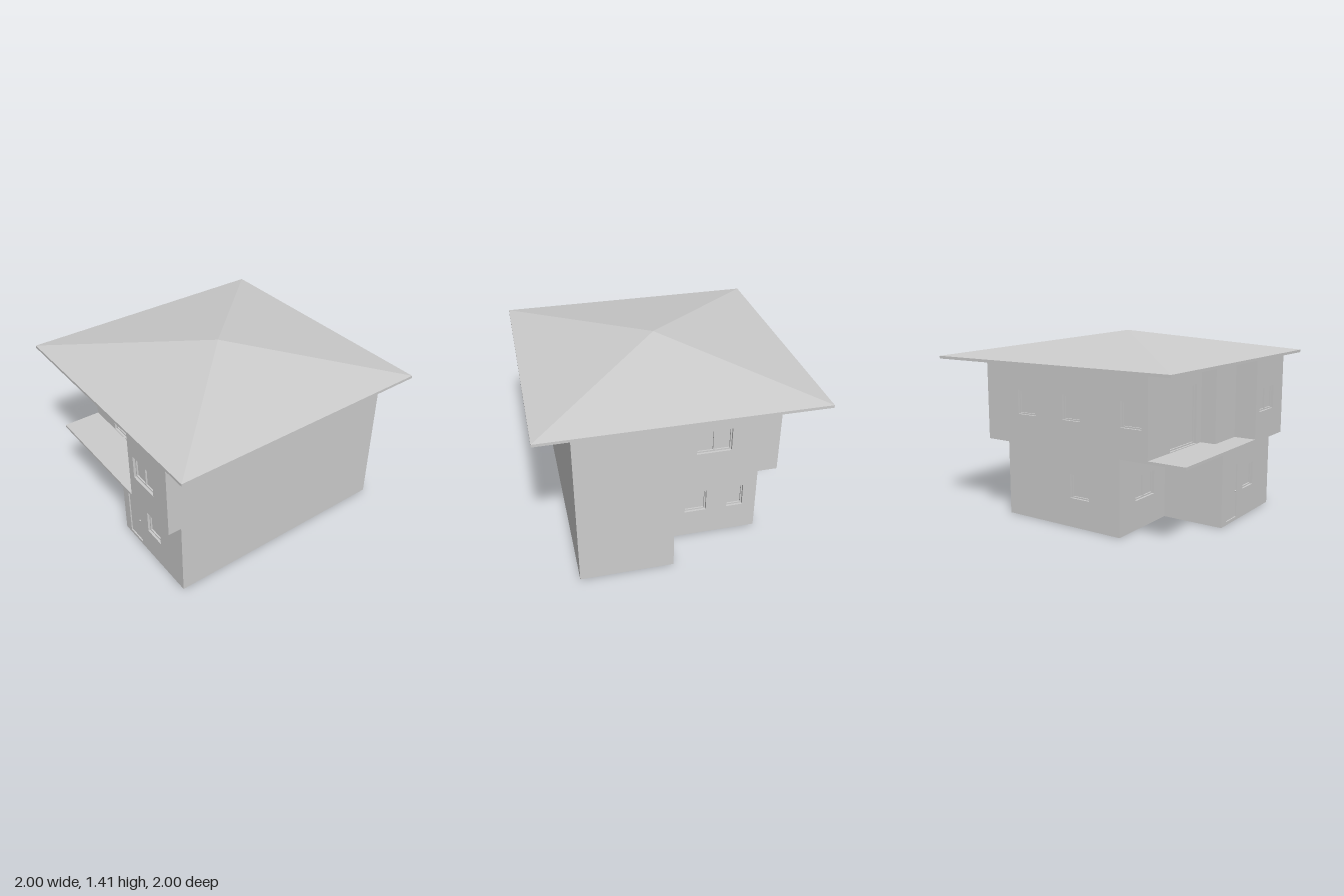
import * as THREE from 'three';

const DEPTH = 0.03; // wall panel thickness
const RISE = 0.175; // roof height over a half width of 1

// Floor outlines as [x, z], anticlockwise seen from above
const GROUND = [[-0.64, 0.37], [-0.04, 0.37], [-0.04, 0.86], [0.755, 0.86],
  [0.755, -0.955], [0.07, -0.955], [0.07, -0.67], [-0.64, -0.67]];
const UPPER = [[-0.74, 0.67], [-0.03, 0.67], [-0.03, 0.79], [0.28, 0.79], [0.28, 0.96],
  [0.755, 0.96], [0.755, -0.955], [-0.036, -0.955], [-0.036, -0.775], [-0.74, -0.775]];

// Openings per wall: distance along the wall, heights, kind
const win = (u0, u1, y0, panes = 1) => ({ u0, u1, y0, y1: y0 + 0.18, panes, kind: 'window' });
const door = (u0, u1, knob) => ({ u0, u1, y0: 0.025, y1: 0.44, knob, kind: 'door' });
const GROUND_OPENINGS = {
  0: [win(0.2, 0.45, 0.22, 2)],
  2: [door(0.075, 0.24, 0.22), win(0.34, 0.51, 0.22)],
  5: [door(0.05, 0.2, 0.068)],
  6: [win(0.155, 0.32, 0.22), win(0.48, 0.605, 0.22)],
  7: [win(0.6, 0.77, 0.22)],
};
const UPPER_OPENINGS = {
  0: [{ u0: 0.28, u1: 0.64, y0: 0.625, y1: 1.06, panes: 1, kind: 'balconyDoor' }],
  4: [win(0.06, 0.305, 0.82, 2)],
  7: [win(0.035, 0.155, 0.82)],
  8: [win(0.095, 0.35, 0.82, 2)],
  9: [win(0.305, 0.475, 0.82), win(0.725, 0.885, 0.82), win(1.225, 1.395, 0.82)],
};

export function createModel() {
  const model = new THREE.Group();
  model.name = 'house';
  const grey = new THREE.MeshStandardMaterial({ color: 0xcccccc, side: THREE.DoubleSide });
  grey.name = 'plain grey';

  const add = (parent, name, geometry) => {
    const mesh = new THREE.Mesh(geometry, grey);
    mesh.name = name;
    parent.add(mesh);
    return mesh;
  };
  // Box given by its limits
  const box = (parent, name, x0, x1, y0, y1, z0, z1) => {
    const mesh = add(parent, name, new THREE.BoxGeometry(x1 - x0, y1 - y0, z1 - z0));
    mesh.position.set((x0 + x1) / 2, (y0 + y1) / 2, (z0 + z1) / 2);
    return mesh;
  };

  // Window: recessed pane, slim frame and mullion
  const fillWindow = (wall, o) => {
    const f = 0.01, z0 = -DEPTH, z1 = -0.018;
    box(wall, o.kind + 'Pane', o.u0, o.u1, o.y0, o.y1, z0 - 0.005, z0);
    box(wall, 'frameLeft', o.u0, o.u0 + f, o.y0, o.y1, z0, z1);
    box(wall, 'frameRight', o.u1 - f, o.u1, o.y0, o.y1, z0, z1);
    box(wall, 'frameBottom', o.u0, o.u1, o.y0, o.y0 + f, z0, z1);
    box(wall, 'frameTop', o.u0, o.u1, o.y1 - f, o.y1, z0, z1);
    const mid = (o.u0 + o.u1) / 2;
    if (o.panes === 2) box(wall, 'mullion', mid - f / 2, mid + f / 2, o.y0, o.y1, z0, z1);
  };

  // Door: shallow recessed leaf with a knob
  const fillDoor = (wall, o) => {
    box(wall, 'doorLeaf', o.u0, o.u1, o.y0, o.y1, -DEPTH, -0.01);
    const knob = add(wall, 'doorKnob', new THREE.SphereGeometry(0.007, 10, 8));
    knob.position.set(o.knob, 0.23, -0.002);
  };

  // Wall panel between two outline corners; topAt gives its height at a point
  const buildWall = (name, a, b, y0, topAt, openings) => {
    const dx = b[0] - a[0], dz = b[1] - a[1], length = Math.hypot(dx, dz);
    const wall = new THREE.Group();
    wall.name = name;
    wall.position.set(a[0], 0, a[1]);
    wall.rotation.y = Math.atan2(-dz, dx);
    const shape = new THREE.Shape().moveTo(0, y0).lineTo(length, y0);
    for (let i = 24; i >= 0; i--) {
      const t = i / 24;
      shape.lineTo(t * length, topAt(a[0] + dx * t, a[1] + dz * t));
    }
    for (const o of openings) {
      shape.holes.push(new THREE.Path().moveTo(o.u0, o.y0).lineTo(o.u0, o.y1)
        .lineTo(o.u1, o.y1).lineTo(o.u1, o.y0).closePath());
      (o.kind === 'door' ? fillDoor : fillWindow)(wall, o);
    }
    const panel = new THREE.ExtrudeGeometry(shape, { depth: DEPTH, bevelEnabled: false });
    add(wall, name + 'Panel', panel.translate(0, 0, -DEPTH));
    model.add(wall);
  };

  // Storey: floor plate plus a wall on every side of the outline
  const buildStorey = (name, outline, y0, topAt, openings) => {
    const plan = new THREE.Shape(outline.map(([x, z]) => new THREE.Vector2(x, -z)));
    const plate = new THREE.ExtrudeGeometry(plan, { depth: 0.02, bevelEnabled: false });
    add(model, name + 'Floor', plate.rotateX(-Math.PI / 2).translate(0, y0, 0));
    outline.forEach((a, i) => buildWall(name + 'Wall' + (i + 1), a,
      outline[(i + 1) % outline.length], y0, topAt, openings[i] || []));
  };

  buildStorey('ground', GROUND, 0, () => 0.6, GROUND_OPENINGS);
  // Upper walls rise to the sloping underside of the roof
  const soffit = (x, z) => 1.225 + RISE * (1 - Math.max(Math.abs(x), Math.abs(z)));
  buildStorey('upper', UPPER, 0.6, soffit, UPPER_OPENINGS);

  // Balcony slab
  box(model, 'balcony', -0.74, 0.28, 0.6, 0.62, 0.66, 0.96);

  // Four-sided roof shell with a thin eave edge
  const r = Math.SQRT2;
  const profile = [[0, 1.22 + RISE], [r, 1.22], [r, 1.24], [0, 1.24 + RISE]]
    .map(([x, y]) => new THREE.Vector2(x, y));
  const roof = new THREE.LatheGeometry(profile, 4, Math.PI / 4).toNonIndexed();
  roof.computeVertexNormals();
  add(model, 'roof', roof);

  return model;
}
